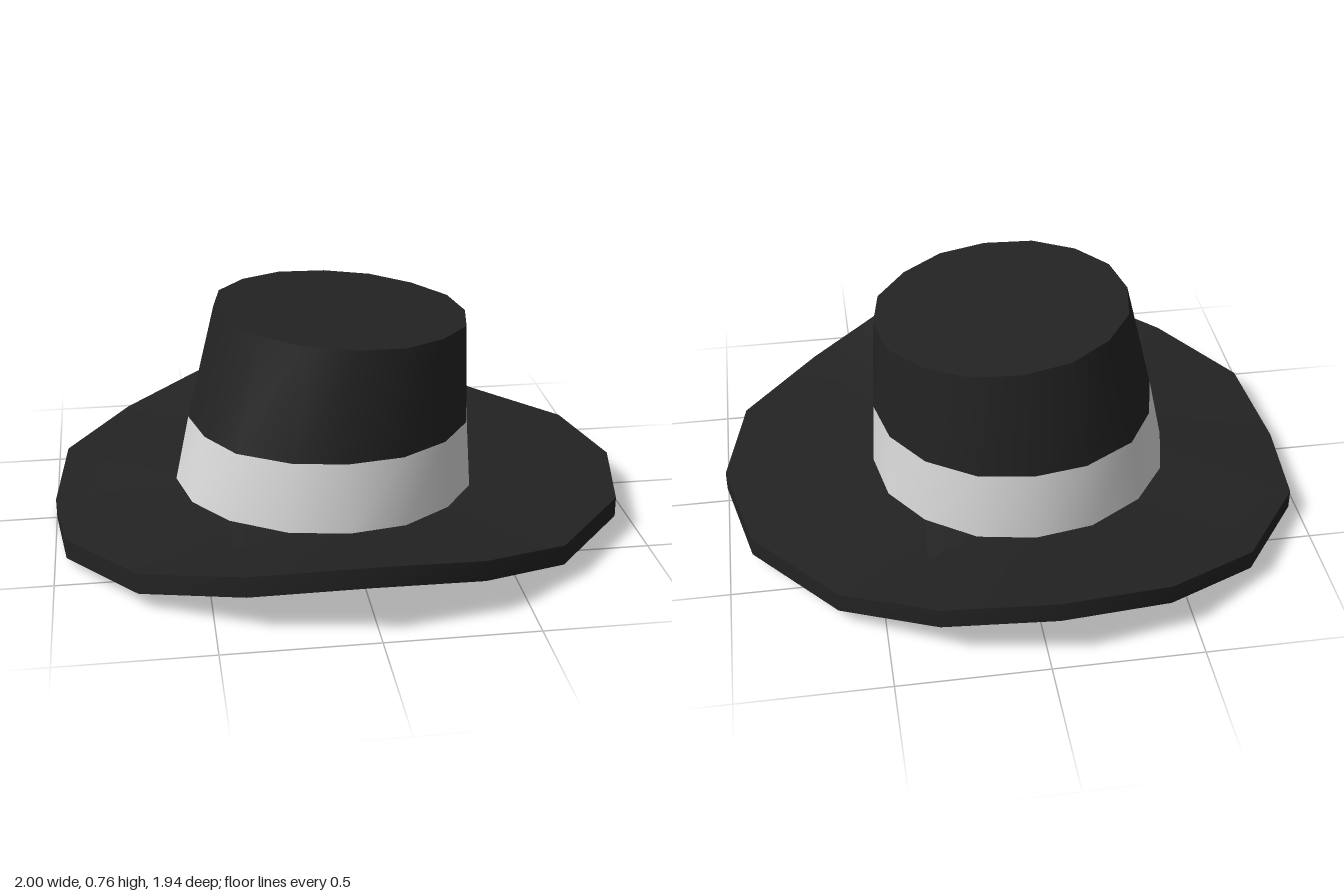
import * as THREE from 'three';

// Closed 16-point ring from 9 stations running left edge -> front -> right edge, mirrored to the back
function ring(xs, zs, ys) {
  const pts = xs.map((x, i) => [x, typeof ys === 'number' ? ys : ys[i], zs[i]]);
  for (let i = xs.length - 2; i > 0; i--) pts.push([pts[i][0], pts[i][1], -pts[i][2]]);
  return pts;
}

// Skin a list of rings, in order from the outside/bottom to the inside/top
function loft(rings) {
  const n = rings[0].length, index = [];
  for (let r = 0; r < rings.length - 1; r++) {
    for (let i = 0; i < n; i++) {
      const j = (i + 1) % n, a = r * n, b = a + n;
      index.push(a + i, a + j, b + j, a + i, b + j, b + i);
    }
  }
  return build(rings.flat(2), index);
}

// Flat fan closing one ring
function cap(points) {
  const index = [];
  for (let i = 1; i < points.length - 1; i++) index.push(0, i, i + 1);
  return build(points.flat(), index);
}

function build(positions, index) {
  const g = new THREE.BufferGeometry();
  g.setAttribute('position', new THREE.Float32BufferAttribute(positions, 3));
  g.setIndex(index);
  g.computeVertexNormals();
  return g;
}

export function createModel() {
  const felt = new THREE.MeshStandardMaterial({ color: 0x232323, side: THREE.DoubleSide });
  felt.name = 'black felt';
  const ribbon = new THREE.MeshStandardMaterial({ color: 0xdadada, side: THREE.DoubleSide });
  ribbon.name = 'pale ribbon';

  const hat = new THREE.Group();
  hat.name = 'hat';
  const add = (name, geometry, material) => {
    const mesh = new THREE.Mesh(geometry, material);
    mesh.name = name;
    hat.add(mesh);
  };

  // Brim outline: front and back curl up, one side droops
  const brimX = [-1, -0.96, -0.73, -0.405, -0.03, 0.34, 0.65, 0.92, 1];
  const brimZ = [0, 0.37, 0.69, 0.895, 0.97, 0.895, 0.69, 0.37, 0];
  const brimY = [0.07, 0.1, 0.125, 0.2, 0.245, 0.2, 0.125, 0.125, 0.125];
  const brimTop = ring(brimX, brimZ, brimY);
  const brimBottom = ring(brimX, brimZ, brimY.map(y => y - 0.07));

  // Crown sections
  const base = ring(
    [-0.575, -0.53, -0.415, -0.23, -0.03, 0.165, 0.33, 0.44, 0.475],
    [0, 0.2, 0.36, 0.475, 0.51, 0.475, 0.36, 0.2, 0], 0.125);
  const bandTop = ring(
    [-0.525, -0.48, -0.385, -0.21, -0.03, 0.16, 0.32, 0.425, 0.465],
    [0, 0.185, 0.34, 0.445, 0.475, 0.445, 0.34, 0.185, 0], 0.36);
  const topX = [-0.425, -0.395, -0.3, -0.16, 0.01, 0.175, 0.315, 0.42, 0.45];
  const crownTop = ring(topX,
    [0, 0.165, 0.3, 0.395, 0.425, 0.395, 0.3, 0.165, 0],
    topX.map(x => 0.765 - (x + 0.425) * 0.0686));

  // Brim: upper face, rim edge and underside, tapering to the crown opening
  add('brimUpper', loft([brimTop, base]), felt);
  add('brimEdge', loft([brimBottom, brimTop]), felt);
  add('brimUnderside', loft([base, brimBottom]), felt);

  // Hollow crown with ribbon and tilted top
  add('hatBand', loft([base, bandTop]), ribbon);
  add('crown', loft([bandTop, crownTop]), felt);
  add('crownTop', cap(crownTop), felt);

  return hat;
}
